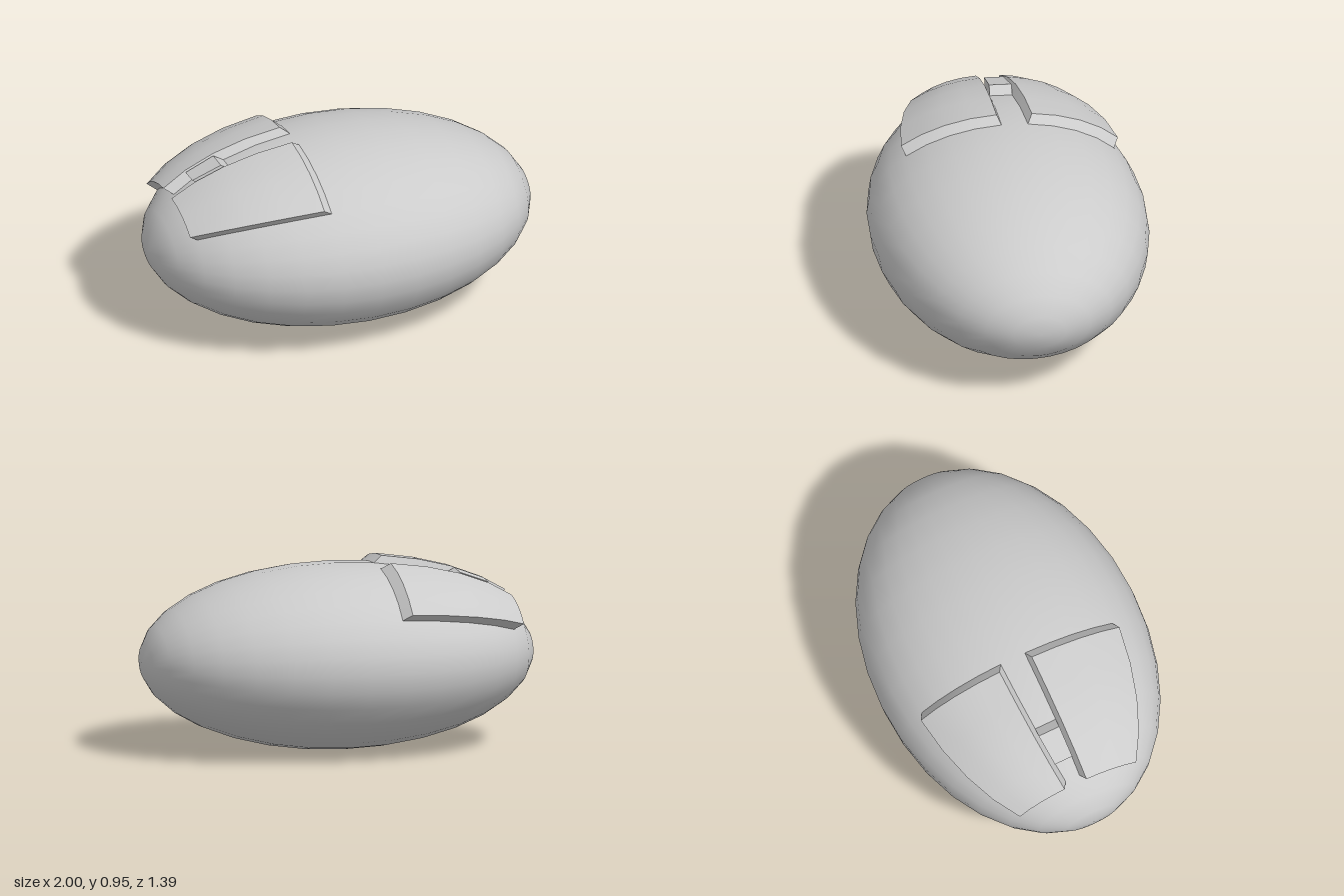
import * as THREE from 'three';
import { toCreasedNormals } from 'three/addons/utils/BufferGeometryUtils.js';

const R = new THREE.Vector3(1, 0.4645, 0.695); // ellipsoid radii
const STEP = Math.PI / 16;                     // body mesh step, 11.25 degrees

// Point on the ellipsoid: ring counts towards -x, turn runs from the top towards +z
function surfacePoint(ring, turn) {
  const a = ring * STEP, b = turn * STEP;
  return new THREE.Vector3(-Math.sin(a), Math.cos(a) * Math.cos(b), Math.cos(a) * Math.sin(b)).multiply(R);
}

// Raised patch: a block of body faces pushed out along one vector, with side walls
function raisedPatch(ring0, ring1, turn0, turn1, push) {
  const pos = [];
  const offset = new THREE.Vector3(...push);
  const base = (i, j) => surfacePoint(i, j);
  const top = (i, j) => surfacePoint(i, j).add(offset);
  const quad = (a, b, c, d) => [a, b, c, a, c, d].forEach((p) => pos.push(p.x, p.y, p.z));

  for (let i = ring0; i < ring1; i++) {
    for (let j = turn0; j < turn1; j++) {
      quad(top(i, j), top(i + 1, j), top(i + 1, j + 1), top(i, j + 1));
    }
  }
  const wall = (p, q) => quad(base(...p), base(...q), top(...q), top(...p));
  for (let i = ring0; i < ring1; i++) {
    wall([i, turn0], [i + 1, turn0]);
    wall([i + 1, turn1], [i, turn1]);
  }
  for (let j = turn0; j < turn1; j++) {
    wall([ring1, j], [ring1, j + 1]);
    wall([ring0, j + 1], [ring0, j]);
  }
  const geo = new THREE.BufferGeometry();
  geo.setAttribute('position', new THREE.Float32BufferAttribute(pos, 3));
  return toCreasedNormals(geo, 0.6);
}

export function createModel() {
  const group = new THREE.Group();
  const material = new THREE.MeshStandardMaterial({ color: 0xcccccc, side: THREE.DoubleSide });
  const add = (name, geo) => {
    const mesh = new THREE.Mesh(geo, material);
    mesh.name = name;
    mesh.position.y = R.y;
    group.add(mesh);
  };

  // Smooth ellipsoid body with its poles on the x axis
  add('body', new THREE.SphereGeometry(1, 32, 16).rotateZ(Math.PI / 2).scale(R.x, R.y, R.z));

  // Two raised panels and the small catch in the gap between them
  add('frontPanel', raisedPatch(1, 5, 0, 4, [-0.045, 0.033, 0.018]));
  add('rearPanel', raisedPatch(1, 5, -5, -1, [-0.045, 0.03, -0.027]));
  add('catch', raisedPatch(3, 4, -1, 0, [-0.052, 0.03, -0.005]));

  return group;
}
